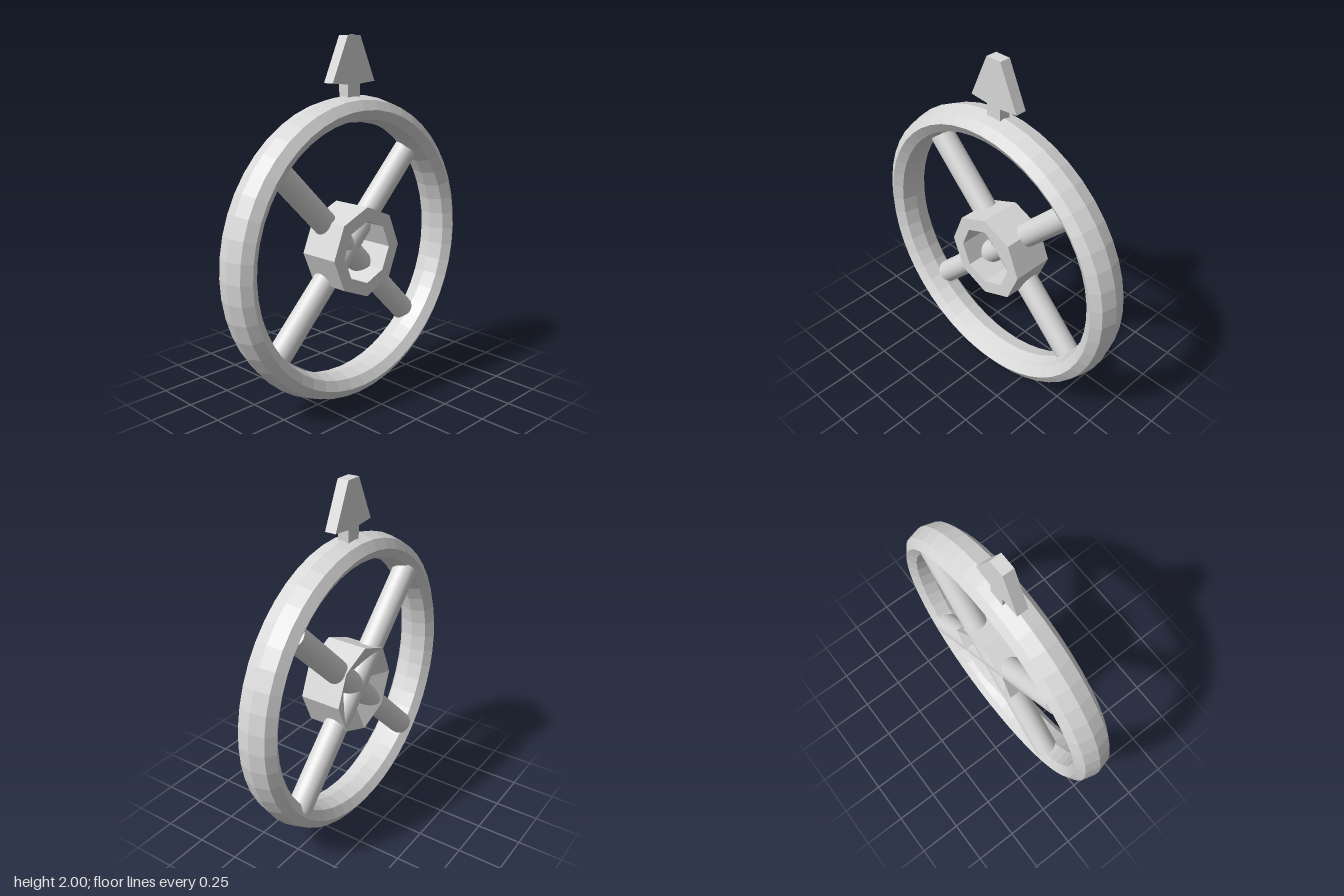
import * as THREE from 'three';

const CX = 0.02, CY = 0.85;

// Octagonal hub: front ring, outer wall, inner wall, and a back dished towards the centre
function hubGeometry(rOut, rIn, zFront, zBack, zApex) {
  const n = 8, pos = [];
  const pt = (k, r, z) => {
    const a = (k * Math.PI * 2) / n;
    return [r * Math.cos(a), r * Math.sin(a), z];
  };
  const tri = (a, b, c) => pos.push(...a, ...b, ...c);
  const quad = (a, b, c, d) => { tri(a, b, c); tri(a, c, d); };
  const zIn = zApex + (zBack - zApex) * rIn / rOut; // where the inner wall meets the dish
  for (let k = 0; k < n; k++) {
    const j = k + 1;
    const of0 = pt(k, rOut, zFront), of1 = pt(j, rOut, zFront);
    const ob0 = pt(k, rOut, zBack), ob1 = pt(j, rOut, zBack);
    const if0 = pt(k, rIn, zFront), if1 = pt(j, rIn, zFront);
    quad(of0, of1, if1, if0);
    quad(ob0, ob1, of1, of0);
    quad(if0, if1, pt(j, rIn, zIn), pt(k, rIn, zIn));
    tri(ob1, ob0, [0, 0, zApex]);
  }
  const g = new THREE.BufferGeometry();
  g.setAttribute('position', new THREE.Float32BufferAttribute(pos, 3));
  g.computeVertexNormals();
  return g;
}

export function createModel() {
  const model = new THREE.Group();
  model.name = 'spokedWheel';
  const grey = new THREE.MeshStandardMaterial({ color: 0xd8d8d8, side: THREE.DoubleSide });
  grey.name = 'lightGrey';
  const add = (name, geometry, x = 0, y = 0, z = 0) => {
    const mesh = new THREE.Mesh(geometry, grey);
    mesh.name = name;
    mesh.position.set(x, y, z);
    model.add(mesh);
    return mesh;
  };

  // Rim: eight-sided section stretched along z, faceted
  const rim = new THREE.TorusGeometry(0.7725, 0.0725, 8, 48);
  rim.scale(1, 1, 0.116 / 0.0725);
  const rimFlat = rim.toNonIndexed();
  rimFlat.computeVertexNormals();
  add('rim', rimFlat, 0, CY - 0.002, 0.003);

  // Two crossing bars, set towards the back, make the four spokes
  for (const side of [-1, 1]) {
    const bar = add('spokePair', new THREE.CylinderGeometry(0.068, 0.068, 1.48, 24), CX, CY, -0.047);
    bar.rotation.z = side * Math.PI / 4;
  }

  // Hub
  add('hub', hubGeometry(0.252, 0.175, 0.117, -0.122, 0), CX, CY, 0);

  // Arrow-shaped pointer on top of the rim
  const outline = [
    [-0.042, 1.66], [0.05, 1.66], [0.05, 1.75], [0.16, 1.76], [0.05, 2],
    [-0.042, 2], [-0.152, 1.76], [-0.042, 1.75],
  ].map(([x, y]) => new THREE.Vector2(x, y));
  const pointer = new THREE.ExtrudeGeometry(new THREE.Shape(outline), { depth: 0.064, bevelEnabled: false });
  add('pointer', pointer, 0, 0, -0.034);

  return model;
}
